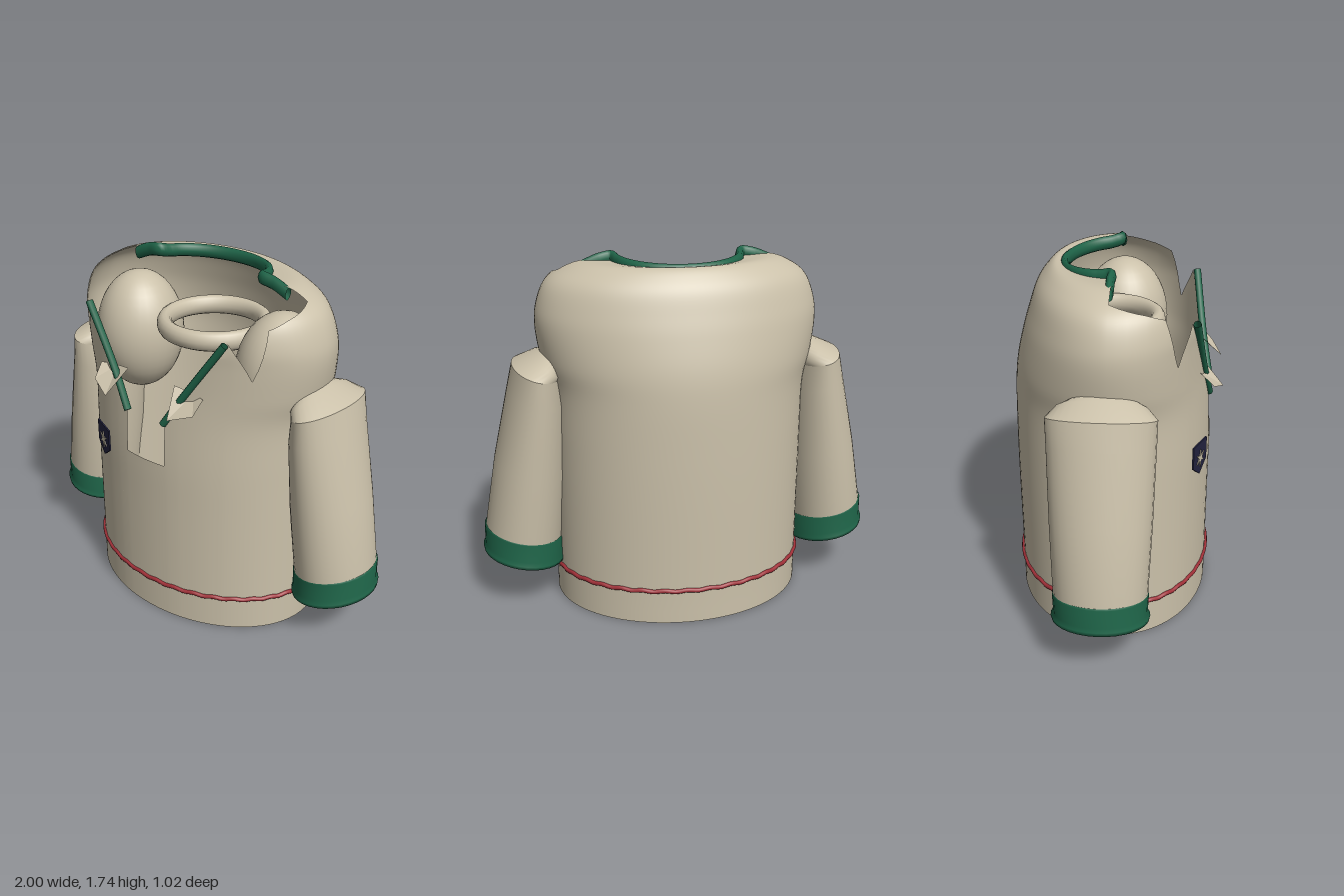
import * as THREE from 'three';
import { mergeVertices } from 'three/addons/utils/BufferGeometryUtils.js';

const mat = (name, color) => Object.assign(new THREE.MeshStandardMaterial({ color, side: THREE.DoubleSide }), { name });
const V = (x, y, z) => new THREE.Vector3(x, y, z);

// Surface over a grid of points; cells can be skipped
function gridSurface(cols, rows, point, skip = () => false) {
  const pos = [], idx = [];
  for (let i = 0; i < cols; i++) for (let j = 0; j < rows; j++) pos.push(...point(i, j).toArray());
  for (let i = 0; i < cols - 1; i++) {
    if (skip(i)) continue;
    for (let j = 0; j < rows - 1; j++) {
      const a = i * rows + j, b = a + rows;
      idx.push(a, b, b + 1, a, b + 1, a + 1);
    }
  }
  let g = new THREE.BufferGeometry();
  g.setAttribute('position', new THREE.Float32BufferAttribute(pos, 3));
  g.setIndex(idx);
  g = mergeVertices(g, 1e-5);
  g.computeVertexNormals();
  return g;
}

// Body levels: height, half width, back depth, front depth
const LEVELS = [
  [0, .63, .5, .46], [.17, .63, .5, .46], [.6, .63, .505, .46], [.86, .63, .505, .46],
  [1.1, .635, .5, .45], [1.25, .67, .485, .44], [1.4, .69, .45, .44], [1.5, .68, .42, .45],
  [1.6, .64, .385, .44], [1.66, .57, .345, .4], [1.7, .46, .3, .36], [1.695, .3, .255, .3]];
const TOP = LEVELS.length - 1;
const backCurve = new THREE.CatmullRomCurve3(LEVELS.map(l => V(l[1], l[0], l[2])), false, 'catmullrom');
const frontCurve = new THREE.CatmullRomCurve3(LEVELS.map(l => V(l[1], l[0], l[3])), false, 'catmullrom');

function bodyPoint(theta, s, k = 1) {
  const c = Math.cos(theta);
  const p = (c > 0 ? frontCurve : backCurve).getPoint(s / TOP);
  return V(p.x * Math.sin(theta) * k, p.y, p.z * c * k);
}
function levelAt(y) {
  let s = 0;
  while (s < TOP - 1 && frontCurve.getPoint(s / TOP).y < y) s += .005;
  return s;
}

// Torn front edge: angle from the front centre, height
const EDGE = [[.19, 1.08], [.33, 1.25], [.666, 1.53], [.83, 1.36], [1, 1.59], [1.2, 1.62], [Math.PI / 2, 1.66]];
function bodyColumns() {
  const half = [[0, .86], [.1, .86], [.19, .86]].map(([t, y]) => [t, levelAt(y)]);
  for (let i = 0; i < EDGE.length - 1; i++) {
    const [t0, y0] = EDGE[i], [t1, y1] = EDGE[i + 1];
    for (let k = 0; k < 4; k++) half.push([t0 + (t1 - t0) * k / 4, levelAt(y0 + (y1 - y0) * k / 4)]);
  }
  half.push([Math.PI / 2, levelAt(1.66)]);
  for (let k = 0; k <= 24; k++) half.push([Math.PI / 2 * (1 + k / 24), TOP]);
  return [...half.slice(1).reverse().map(([t, s]) => [-t, s]), ...half];
}

// Sleeve sections: outer x, outer y, inner x, inner y, half depth
function sleeveLoft(rings, side) {
  const N = 32;
  return gridSurface(N + 1, rings.length, (i, j) => {
    const [ox, oy, ix, iy, rz] = rings[j], f = (i % N) / N * Math.PI * 2, c = Math.cos(f) / 2;
    return V(side * ((ox + ix) / 2 + (ox - ix) * c), (oy + iy) / 2 + (oy - iy) * c, -.025 + rz * Math.sin(f));
  });
}

export function createModel() {
  const root = new THREE.Group();
  const cloth = mat('cream cloth', 0xcbc1aa), green = mat('green trim', 0x1f6549);
  const red = mat('red cord', 0xa03038), navy = mat('navy badge', 0x23233f);
  const add = (name, geo, m, parent = root) => {
    const mesh = new THREE.Mesh(geo, m);
    mesh.name = name;
    parent.add(mesh);
    return mesh;
  };
  const tube = (pts, r, n, type = 'centripetal', closed = false) =>
    new THREE.TubeGeometry(new THREE.CatmullRomCurve3(pts, closed, type), n, r, 8, closed);

  // Body shell with open slit, torn shoulders and rounded back yoke
  const cols = bodyColumns(), ROWS = 67;
  add('body', gridSurface(cols.length, ROWS,
    (i, j) => bodyPoint(cols[i][0], Math.min(j / 6, cols[i][1])),
    i => Math.abs(cols[i][0] - cols[i + 1][0]) < 1e-6), cloth);

  // Green facing inside the hem, with its lower rim
  const facing = [[1, 0], [.975, .004], [.975, .16]];
  add('hemFacing', gridSurface(65, 3, (i, j) => {
    const p = bodyPoint((i % 64) / 64 * Math.PI * 2, 0, facing[j][0]);
    return p.setY(facing[j][1]);
  }), green);

  // Slightly beaded cord round the hem
  const cord = [];
  for (let i = 0; i < 72; i++) {
    const p = bodyPoint(i / 72 * Math.PI * 2, 1, 1.004);
    cord.push(p.setY(.175 + (i % 2 ? .003 : -.003)));
  }
  add('hemCord', tube(cord, .011, 216, 'centripetal', true), red);

  // Neck ring
  const ring = add('neckRing', new THREE.TorusGeometry(.245, .037, 14, 48), cloth);
  ring.rotation.x = Math.PI / 2;
  ring.scale.z = 1.3;
  ring.position.set(0, 1.4, -.055);

  // Back collar roll, taller than it is thick
  const collar = [V(-.46, -.015, -.01), V(-.38, .005, -.01), V(-.315, .012, -.01)];
  for (let k = 1; k < 16; k++) {
    const t = k / 16 * Math.PI;
    collar.push(V(-.3 * Math.cos(t), .008 - .016 * Math.sin(t), -.01 - .243 * Math.sin(t)));
  }
  collar.push(V(.315, .012, -.01), V(.38, .005, -.01), V(.46, -.015, -.01));
  const roll = add('backCollar', tube(collar, .021, 90), green);
  roll.scale.y = 1.6;
  roll.position.y = 1.69;

  for (const side of [1, -1]) {
    const label = side > 0 ? 'left' : 'right';

    // Sleeve, torn cap and flared cuff
    const sleeve = new THREE.Group();
    sleeve.name = label + 'Sleeve';
    root.add(sleeve);
    add('sleeveCap', sleeveLoft([[.6, 1.3, .58, 1.18, .1], [.7, 1.275, .58, 1.17, .2],
      [.81, 1.225, .585, 1.165, .245]], side), cloth, sleeve);
    add('sleeveTube', sleeveLoft([[.81, 1.225, .585, 1.165, .245], [.84, 1.1, .565, 1.03, .242],
      [.92, .75, .575, .67, .232], [.982, .4, .605, .33, .217], [.975, .29, .62, .225, .207]], side), cloth, sleeve);
    add('cuff', sleeveLoft([[.978, .412, .607, .335, .214], [.988, .405, .6, .33, .221], [.99, .31, .6, .235, .217],
      [1, .295, .597, .215, .229], [.998, .275, .6, .2, .225], [.975, .278, .62, .212, .207]], side), green, sleeve);

    // Rounded shoulder filling inside the body
    const pad = add(label + 'ShoulderPad', new THREE.SphereGeometry(1, 32, 20), cloth);
    pad.scale.set(.22, .31, .225);
    pad.position.set(side * .45, 1.27, 0);

    // Front neckline trim
    add(label + 'NecklineTrim', tube([V(side * .415, 1.53, .375), V(side * .22, 1.25, .415),
      V(side * .112, 1.08, .447)], .018, 24), green);

    // Folded collar tab
    const tab = [[.32, 1.255, .405], [.24, 1.25, .375], [.145, 1.27, .4], [.195, 1.15, .51], [.31, 1.19, .465]];
    const tabGeo = new THREE.BufferGeometry().setFromPoints(
      [1, 2, 3, 1, 3, 4, 1, 4, 0].map(i => V(side * tab[i][0], tab[i][1], tab[i][2])));
    tabGeo.computeVertexNormals();
    add(label + 'CollarTab', tabGeo, cloth);

    // Zigzag lace on the inner front
    const lace = [];
    for (let k = 0; k < 12; k++) lace.push(V(side * (.15 + (k % 2 ? .022 : -.022)), .22 + k * .055, .435));
    const path = new THREE.CurvePath();
    for (let k = 0; k < 11; k++) path.add(new THREE.LineCurve3(lace[k], lace[k + 1]));
    add(label + 'InnerLace', new THREE.TubeGeometry(path, 66, .008, 5), cloth);
  }

  // Shield badge with a six-pointed star
  const badge = new THREE.Group();
  badge.name = 'badge';
  badge.position.set(-.326, .83, .404);
  badge.rotation.y = -.413;
  root.add(badge);
  const shield = new THREE.Shape([[-.075, .08], [-.075, -.03], [0, -.085], [.075, -.03], [.075, .08]]
    .map(p => new THREE.Vector2(...p)));
  add('shield', new THREE.ExtrudeGeometry(shield, { depth: .008, bevelEnabled: false }), navy, badge);
  const star = new THREE.Shape(Array.from({ length: 12 }, (_, k) => {
    const r = k % 2 ? .016 : .046, t = k / 12 * Math.PI * 2 + Math.PI / 2;
    return new THREE.Vector2(r * Math.cos(t), r * Math.sin(t));
  }));
  add('star', new THREE.ExtrudeGeometry(star, { depth: .004, bevelEnabled: false }), cloth, badge).position.z = .008;

  return root;
}
